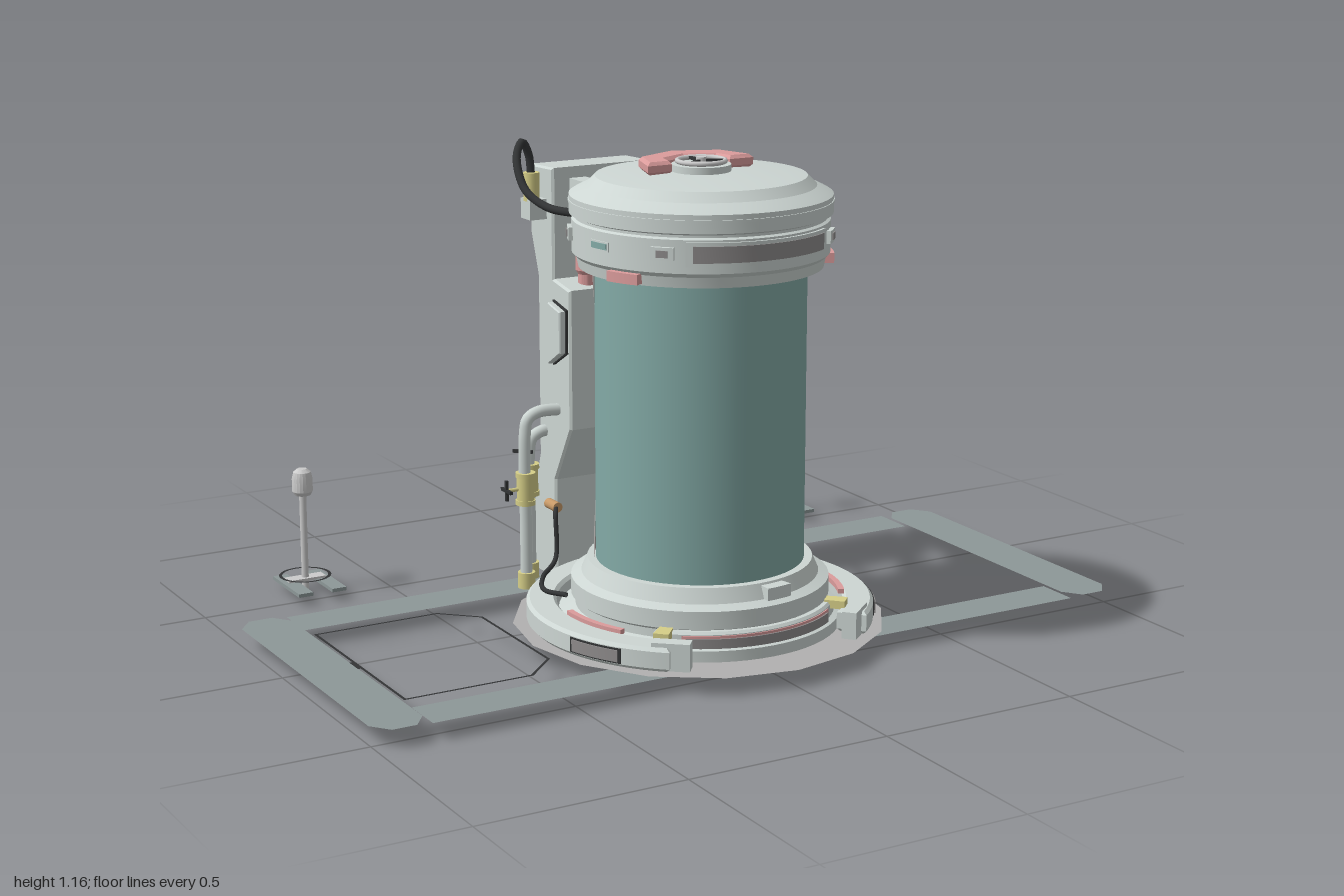
import * as THREE from 'three';
import { toCreasedNormals } from 'three/addons/utils/BufferGeometryUtils.js';

const mat = (color, extra = {}) => {
  const m = new THREE.MeshStandardMaterial({ color, side: THREE.DoubleSide });
  return Object.assign(m, extra);
};
const M = {
  body: mat(0xcdd6d3), grey: mat(0xcccccc), glass: mat(0x83aaa6), shroud: mat(0xaeaaa8),
  red: mat(0xdb9c9c), yellow: mat(0xd6cf88), orange: mat(0xc89a68), dark: mat(0x333536),
  frame: mat(0x8d9898), disc: mat(0xb2b0b0), panel: mat(0x8f8c8c),
};
const V = (x, y, z) => new THREE.Vector3(x, y, z);
const rad = THREE.MathUtils.degToRad;

function add(parent, name, geo, material, x = 0, y = 0, z = 0) {
  const m = new THREE.Mesh(geo, material);
  m.name = name;
  m.position.set(x, y, z);
  parent.add(m);
  return m;
}
const box = (w, h, d) => new THREE.BoxGeometry(w, h, d);
const cyl = (r, h, n = 20, r2 = r) => new THREE.CylinderGeometry(r, r2, h, n);
const lathe = (pts, n = 64) => toCreasedNormals(
  new THREE.LatheGeometry(pts.map(p => new THREE.Vector2(...p)), n), 0.3);
const tube = (pts, r, n = 40) =>
  new THREE.TubeGeometry(new THREE.CatmullRomCurve3(pts.map(p => V(...p))), n, r, 10);
const poly = pts => new THREE.Shape(pts.map(p => new THREE.Vector2(...p)));

// Flat outline given as [x, z], laid on the ground
function flat(pts, hole) {
  const s = poly(pts.map(([x, z]) => [x, -z]));
  if (hole) s.holes.push(poly(hole.map(([x, z]) => [x, -z])));
  return new THREE.ShapeGeometry(s).rotateX(-Math.PI / 2);
}

// Curved block around the tank axis; angles in degrees from the front towards +x
function arcBlock(r0, r1, a0, a1, h, bevel = 0) {
  const s = new THREE.Shape(), t0 = rad(a0 - 90), t1 = rad(a1 - 90);
  s.absarc(0, 0, r1, t0, t1, false);
  s.absarc(0, 0, r0, t1, t0, true);
  const g = new THREE.ExtrudeGeometry(s, {
    depth: h - 2 * bevel, curveSegments: Math.max(4, Math.ceil((a1 - a0) / 6)),
    bevelEnabled: bevel > 0, bevelSize: bevel, bevelThickness: bevel, bevelOffset: -bevel, bevelSegments: 1,
  });
  return toCreasedNormals(g.translate(0, 0, bevel).rotateX(-Math.PI / 2), 0.4);
}

// Rear shell whose side edges follow the stepped outline
function shell(r, widths, y0, y1, a0Of, rows) {
  const g = new THREE.CylinderGeometry(r, r, 1, 32, rows.length - 1, true);
  const p = g.attributes.position;
  for (let i = 0; i < p.count; i++) {
    const row = Math.floor(i / 33), u = (i % 33) / 32;
    const a = rad(180 + (u * 2 - 1) * widths[row]);
    p.setXYZ(i, r * Math.sin(a), rows[row], r * Math.cos(a));
  }
  g.computeVertexNormals();
  return g;
}

function tank() {
  const g = new THREE.Group();
  g.name = 'tank';
  g.position.z = 0.2;
  add(g, 'glass', new THREE.CylinderGeometry(0.25, 0.25, 0.74, 64, 1, true), M.glass, 0, 0.55, 0);
  add(g, 'rearShroud', shell(0.254, [69, 69, 47, 47, 69, 69], 0, 0, 0,
    [0.92, 0.87, 0.66, 0.45, 0.26, 0.19]), M.shroud);
  add(g, 'rearSpine', shell(0.262, [23, 23, 19, 19, 25, 25, 20, 20], 0, 0, 0,
    [0.92, 0.76, 0.74, 0.58, 0.56, 0.4, 0.38, 0.19]), M.shroud);
  // Stepped foot of the tank
  add(g, 'base', lathe([[0, 0.043], [0.34, 0.043], [0.34, 0.07], [0.3, 0.085], [0.3, 0.105], [0.31, 0.112],
    [0.31, 0.155], [0.285, 0.165], [0.27, 0.2], [0.245, 0.2]]), M.body);
  add(g, 'basePlate', arcBlock(0.271, 0.302, 1, 14, 0.03), M.body, 0, 0.165, 0);
  // Cap
  add(g, 'cap', lathe([[0.24, 0.91], [0.288, 0.91], [0.293, 0.935], [0.303, 0.945], [0.303, 1.022], [0.296, 1.026],
    [0.296, 1.032], [0.309, 1.037], [0.309, 1.08], [0.295, 1.088], [0.27, 1.1], [0.248, 1.122],
    [0.2, 1.127], [0, 1.133]]), M.body);
  add(g, 'capRib', lathe([[0.3, 1.06], [0.311, 1.062], [0.311, 1.068], [0.3, 1.07]]), M.body);
  add(g, 'capPanelFrame', arcBlock(0.29, 0.309, -37, 37, 0.055), M.body, 0, 0.962, 0);
  add(g, 'capPanel', arcBlock(0.29, 0.312, -34, 34, 0.038), M.panel, 0, 0.971, 0);
  for (const s of [-1, 1]) {
    for (const a of [47, 115, 150]) {
      add(g, 'capClamp', arcBlock(0.29, 0.313, s * a - 5, s * a + 5, 0.03), M.body, 0, 0.975, 0);
      add(g, 'clampInset', arcBlock(0.29, 0.316, s * a - 2.5, s * a + 2.5, 0.016), M.panel, 0, 0.982, 0);
    }
    add(g, 'capWindowFrame', arcBlock(0.29, 0.306, s * 80 - 6, s * 80 + 6, 0.022), M.body, 0, 0.979, 0);
    add(g, 'capWindow', arcBlock(0.29, 0.308, s * 80 - 5, s * 80 + 5, 0.014), M.glass, 0, 0.983, 0);
    add(g, 'redTab', arcBlock(0.28, 0.312, s * 66 - 8, s * 66 + 8, 0.024), M.red, 0, 0.914, 0);
  }
  // Handwheel and its guard
  add(g, 'wheelMount', cyl(0.07, 0.02, 32), M.body, 0, 1.137, 0);
  add(g, 'handwheel', new THREE.TorusGeometry(0.056, 0.006, 8, 32).rotateX(Math.PI / 2), M.grey, 0, 1.154, 0);
  add(g, 'wheelHub', cyl(0.012, 0.022, 12), M.grey, 0, 1.152, 0);
  for (let i = 0; i < 3; i++) {
    const a = i * Math.PI * 2 / 3 + Math.PI / 6;
    const spoke = add(g, 'wheelSpoke', box(0.056, 0.007, 0.008), M.dark, Math.cos(a) * 0.028, 1.154, Math.sin(a) * 0.028);
    spoke.rotation.y = -a;
  }
  const guard = poly([[-0.142, 0.0], [-0.112, 0.098], [0, 0.145], [0.112, 0.098], [0.142, 0.0],
    [0.078, 0.0], [0.066, 0.048], [0, 0.077], [-0.066, 0.048], [-0.078, 0.0]]);
  add(g, 'wheelGuard', new THREE.ExtrudeGeometry(guard, {
    depth: 0.016, bevelSize: 0.008, bevelThickness: 0.008, bevelOffset: -0.008, bevelSegments: 1,
  }).rotateX(-Math.PI / 2), M.red, 0, 1.135, 0);
  // Collar open at the front, with end blocks and a front bumper
  add(g, 'collar', arcBlock(0.345, 0.418, 40, 320, 0.056, 0.008), M.body, 0, 0.043, 0);
  add(g, 'frontBumper', arcBlock(0.27, 0.325, -50, 50, 0.06, 0.006), M.body, 0, 0.05, 0);
  add(g, 'bumperFrame', arcBlock(0.3, 0.328, -38, 38, 0.042), M.red, 0, 0.06, 0);
  add(g, 'bumperPanel', arcBlock(0.3, 0.332, -36, 36, 0.03), M.panel, 0, 0.066, 0);
  for (const s of [-1, 1]) {
    const end = add(g, 'collarEnd', box(0.09, 0.066, 0.035), M.body, s * 0.25, 0.076, 0.297);
    end.rotation.y = s * rad(-50);
    end.rotation.y = s * rad(40);
    add(g, 'collarFrame', arcBlock(0.4, 0.421, s * 66 - 10, s * 66 + 10, 0.036), M.dark, 0, 0.053, 0);
    add(g, 'collarPanel', arcBlock(0.4, 0.424, s * 66 - 9, s * 66 + 9, 0.028), M.panel, 0, 0.057, 0);
    add(g, 'collarLatch', arcBlock(0.3, 0.36, s * 45 - 3, s * 45 + 3, 0.02), M.yellow, 0, 0.095, 0);
    add(g, 'collarStrip', arcBlock(0.335, 0.35, s * 78 - 16, s * 78 + 16, 0.012), M.red, 0, 0.095, 0);
  }
  return g;
}

function column() {
  const g = new THREE.Group();
  g.name = 'serviceColumn';
  const cx = -0.032, w = 0.275;
  // Side profile as [-z, y], extruded across x
  const side = poly([[0.222, 0.042], [0.342, 0.042], [0.342, 0.25], [0.305, 0.355], [0.305, 0.81], [0.342, 0.915],
    [0.342, 1.085], [0.225, 1.09], [0.225, 0.815], [0.14, 0.8], [0.14, 0.45], [0.222, 0.305]]);
  const geo = new THREE.ExtrudeGeometry(side, {
    depth: w - 0.012, bevelSize: 0.005, bevelThickness: 0.006, bevelOffset: -0.005, bevelSegments: 1,
  }).translate(0, 0, -w / 2 + 0.006).rotateY(Math.PI / 2);
  add(g, 'columnBody', geo, M.body, cx);
  const hatch = poly([[0.155, 0.745], [0.212, 0.758], [0.212, 0.61], [0.155, 0.645]]);
  for (const s of [-1, 1]) {
    const h = new THREE.ExtrudeGeometry(hatch, { depth: 0.022, bevelSize: 0.003, bevelThickness: 0.003, bevelSegments: 1 })
      .translate(0, 0, -0.011).rotateY(Math.PI / 2);
    add(g, 'sideHatch', h, M.body, cx + s * (w / 2 + 0.008));
    const rim = new THREE.ExtrudeGeometry(hatch, { depth: 0.008, bevelSize: 0.007, bevelThickness: 0.001, bevelSegments: 1 })
      .translate(0, 0, -0.004).rotateY(Math.PI / 2);
    add(g, 'hatchRim', rim, M.dark, cx + s * (w / 2 + 0.002));
    // Arms to the cap, each with a red damper below
    const x = -0.022 + s * 0.077;
    add(g, 'arm', box(0.045, 0.028, 0.16), M.body, x, 1.048, -0.15);
    add(g, 'armCollar', box(0.06, 0.036, 0.05), M.body, x, 1.048, -0.125);
    add(g, 'damperJoint', new THREE.SphereGeometry(0.017, 16, 10), M.orange, x, 1.022, -0.182);
    add(g, 'damper', lathe([[0, 0.8], [0.021, 0.8], [0.021, 0.83], [0.027, 0.84], [0.027, 0.935], [0.02, 0.95],
      [0.009, 0.955], [0.009, 1.02]], 24), M.red, x, 0, -0.182);
    // Hose from the column down to the collar
    const hx = s > 0 ? 0.12 : -0.185;
    add(g, 'hosePlug', cyl(0.013, 0.05, 14).rotateX(Math.PI / 2), M.orange, hx, 0.245, -0.205);
    add(g, 'hose', tube([[hx, 0.245, -0.19], [hx + s * 0.015, 0.235, -0.165], [s * 0.21, 0.13, -0.145],
      [s * 0.28, 0.108, -0.08], [s * 0.325, 0.108, 0.02], [s * 0.3, 0.11, 0.08]], 0.006), M.dark);
  }
  // Pipes on the right flank with yellow fittings and valves
  for (const [x, z, top, vy] of [[-0.262, -0.205, 0.49, 0.3], [-0.215, -0.275, 0.42, 0.385]]) {
    add(g, 'pipe', tube([[-0.16, top, z], [x + 0.035, top, z], [x + 0.008, top - 0.015, z], [x, top - 0.05, z],
      [x, 0.2, z], [x, 0.045, z]], 0.015, 60), M.body);
    add(g, 'pipeFitting', cyl(0.022, 0.06), M.yellow, x, 0.3, z);
    for (const y of [0.265, 0.335]) add(g, 'pipeFlange', cyl(0.025, 0.012), M.yellow, x, y, z);
    add(g, 'pipeFoot', cyl(0.022, 0.04), M.yellow, x, 0.064, z);
    const back = vy > 0.35;
    const valve = new THREE.Group();
    valve.name = 'valve';
    valve.position.set(x, vy, z);
    valve.rotation.y = back ? Math.PI / 4 : 0;
    add(valve, 'valveStem', cyl(0.005, 0.045, 8).rotateZ(Math.PI / 2), M.yellow, -0.03);
    for (const r of [0, Math.PI / 2]) add(valve, 'valveHandle', box(0.007, 0.052, 0.008).rotateX(r), M.dark, -0.052);
    g.add(valve);
  }
  // Cable from the column to the cap
  add(g, 'cablePlug', cyl(0.02, 0.07), M.yellow, -0.198, 1.04, -0.28);
  add(g, 'cableBox', box(0.05, 0.05, 0.05), M.body, -0.19, 0.985, -0.28);
  add(g, 'cable', tube([[-0.198, 1.06, -0.28], [-0.205, 1.12, -0.28], [-0.225, 1.152, -0.275], [-0.25, 1.12, -0.255],
    [-0.257, 1.05, -0.2], [-0.235, 1.015, -0.13], [-0.2, 1.01, -0.03]], 0.01, 50), M.dark);
  return g;
}

function floorMarks() {
  const g = new THREE.Group();
  g.name = 'floor';
  add(g, 'floorDisc', new THREE.CircleGeometry(0.45, 16).rotateX(-Math.PI / 2), M.disc, 0, 0.042, 0.195);
  add(g, 'underPlate', cyl(0.27, 0.006, 48), M.panel, 0, 0.039, 0.2);
  add(g, 'underRing', new THREE.RingGeometry(0.33, 0.37, 48).rotateX(-Math.PI / 2), M.panel, 0, 0.04, 0.2);
  for (const s of [-1, 1]) {
    add(g, 'frameEnd', flat([[0.872, -0.25], [0.905, -0.295], [0.965, -0.295], [1, -0.25],
      [1, 0.49], [0.965, 0.535], [0.905, 0.535], [0.872, 0.49]].map(([x, z]) => [s * x, z])), M.frame, 0, 0.044);
    add(g, 'frontBar', flat([[0.25, 0.425], [0.868, 0.425], [0.868, 0.535], [0.25, 0.535]]
      .map(([x, z]) => [s * x, z])), M.frame, 0, 0.041);
  }
  add(g, 'backBar', flat([[-0.868, -0.292], [0.868, -0.292], [0.868, -0.18], [-0.868, -0.18]]), M.frame, 0, 0.04);
  // Thin line marking a bay on the floor
  const bay = d => [[-0.866 + d, -0.13 + d], [-0.545 - d * 0.4, -0.13 + d], [-0.46 - d, -0.05 + d * 0.4],
    [-0.46 - d, 0.3 - d * 0.4], [-0.545 - d * 0.4, 0.382 - d], [-0.866 + d, 0.382 - d]];
  add(g, 'bayLine', flat(bay(0), bay(0.007)), M.dark, 0, 0.044);
  add(g, 'bayMark', flat([[-0.875, 0.1], [-0.862, 0.1], [-0.862, 0.15], [-0.875, 0.15]]), M.dark, 0, 0.046);
  return g;
}

function beacon(x) {
  const g = new THREE.Group();
  g.name = 'beacon';
  g.position.set(x, 0, -0.582);
  add(g, 'pole', cyl(0.009, 0.26, 12), M.grey, 0, 0.13);
  add(g, 'lamp', lathe([[0, 0.252], [0.02, 0.252], [0.026, 0.262], [0.026, 0.295], [0.022, 0.312], [0.012, 0.32], [0, 0.32]], 20), M.grey);
  add(g, 'footRing', new THREE.RingGeometry(0.058, 0.066, 32).rotateX(-Math.PI / 2), M.dark, 0, 0.041);
  add(g, 'crossPlate', box(0.1, 0.006, 0.035), M.grey, 0, 0.033);
  for (const s of [-1, 1]) add(g, 'skid', box(0.038, 0.009, 0.172), M.frame, s * 0.045, 0.026, 0.028);
  return g;
}

export function createModel() {
  const model = new THREE.Group();
  model.name = 'containmentTank';
  model.add(tank(), column(), floorMarks(), beacon(-0.7), beacon(0.7));
  return model;
}
